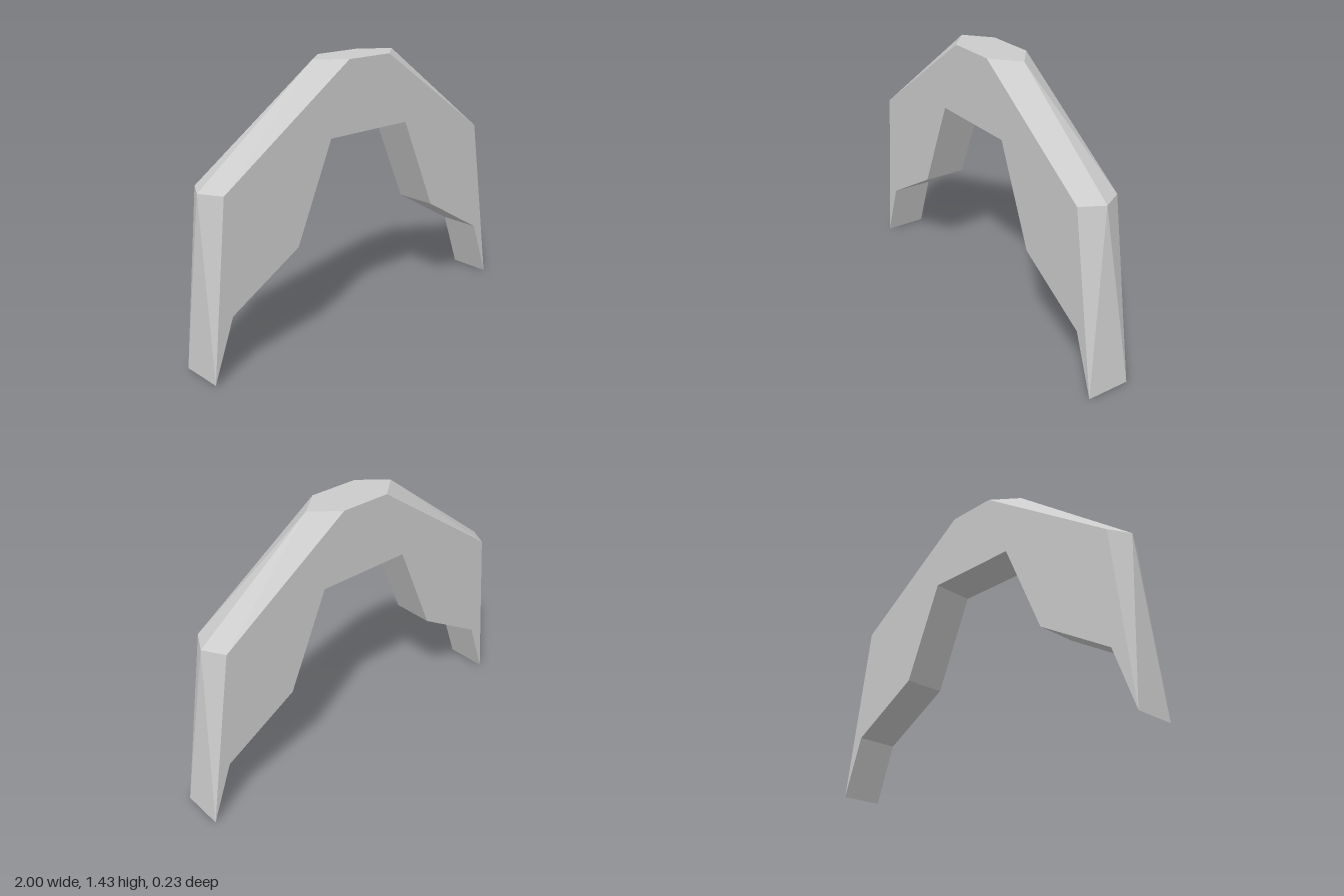
import * as THREE from 'three';

const HALF = 0.115; // half depth of the arch

// Profiles run from the right foot (-x) over the top to the left foot (+x)
const faceEdge = [[-1, 0], [-0.905, 0.905], [-0.14, 1.43], [0.135, 1.43], [0.845, 0.945], [1, 0]];
const ridge = [[-1, 0], [-0.967, 0.905], [-0.275, 1.43], [0.275, 1.43], [0.908, 0.945], [1, 0]];
const innerHalf = [[1, 0], [0.885, 0.317], [0.483, 0.552], [0.263, 1.057]];
const inner = [...innerHalf.map(([x, y]) => [-x, y]), ...[...innerHalf].reverse()];

const at = (profile, z) => profile.map(([x, y]) => new THREE.Vector3(x, y, z));

function makeMesh(name, triangles) {
  const geometry = new THREE.BufferGeometry().setFromPoints(triangles.flat());
  geometry.computeVertexNormals();
  const mesh = new THREE.Mesh(geometry, new THREE.MeshStandardMaterial({ color: 0xcccccc, flatShading: true }));
  mesh.name = name;
  return mesh;
}

// Flat front or back wall, between the inner opening and the bevel
function wall(side) {
  const outline = [...inner, ...faceEdge.slice(1, -1).reverse()];
  const points = at(outline, side * HALF);
  const faces = THREE.ShapeUtils.triangulateShape(outline.map(([x, y]) => new THREE.Vector2(x, y)), []);
  return faces.map(([a, b, c]) => (side > 0 ? [points[a], points[b], points[c]] : [points[a], points[c], points[b]]));
}

// Faceted bevel from one wall up to the central ridge
function bevel(side) {
  const f = at(faceEdge, side * HALF), r = at(ridge, -0.003);
  const triangles = [];
  for (let i = 0; i < f.length - 1; i++) {
    if (i < 3) triangles.push([f[i], f[i + 1], r[i + 1]], [f[i], r[i + 1], r[i]]);
    else triangles.push([f[i], f[i + 1], r[i]], [f[i + 1], r[i + 1], r[i]]);
  }
  return side > 0 ? triangles : triangles.map(([a, b, c]) => [a, c, b]);
}

// Underside of the opening, straight through the depth
function underside() {
  const f = at(inner, HALF), b = at(inner, -HALF);
  const triangles = [];
  for (let i = 0; i < f.length - 1; i++) {
    triangles.push([f[i], b[i], b[i + 1]], [f[i], b[i + 1], f[i + 1]]);
  }
  return triangles;
}

export function createModel() {
  const arch = new THREE.Group();
  arch.name = 'arch';
  arch.add(
    makeMesh('frontWall', wall(1)),
    makeMesh('backWall', wall(-1)),
    makeMesh('outerShell', [...bevel(1), ...bevel(-1)]),
    makeMesh('underside', underside())
  );
  return arch;
}
